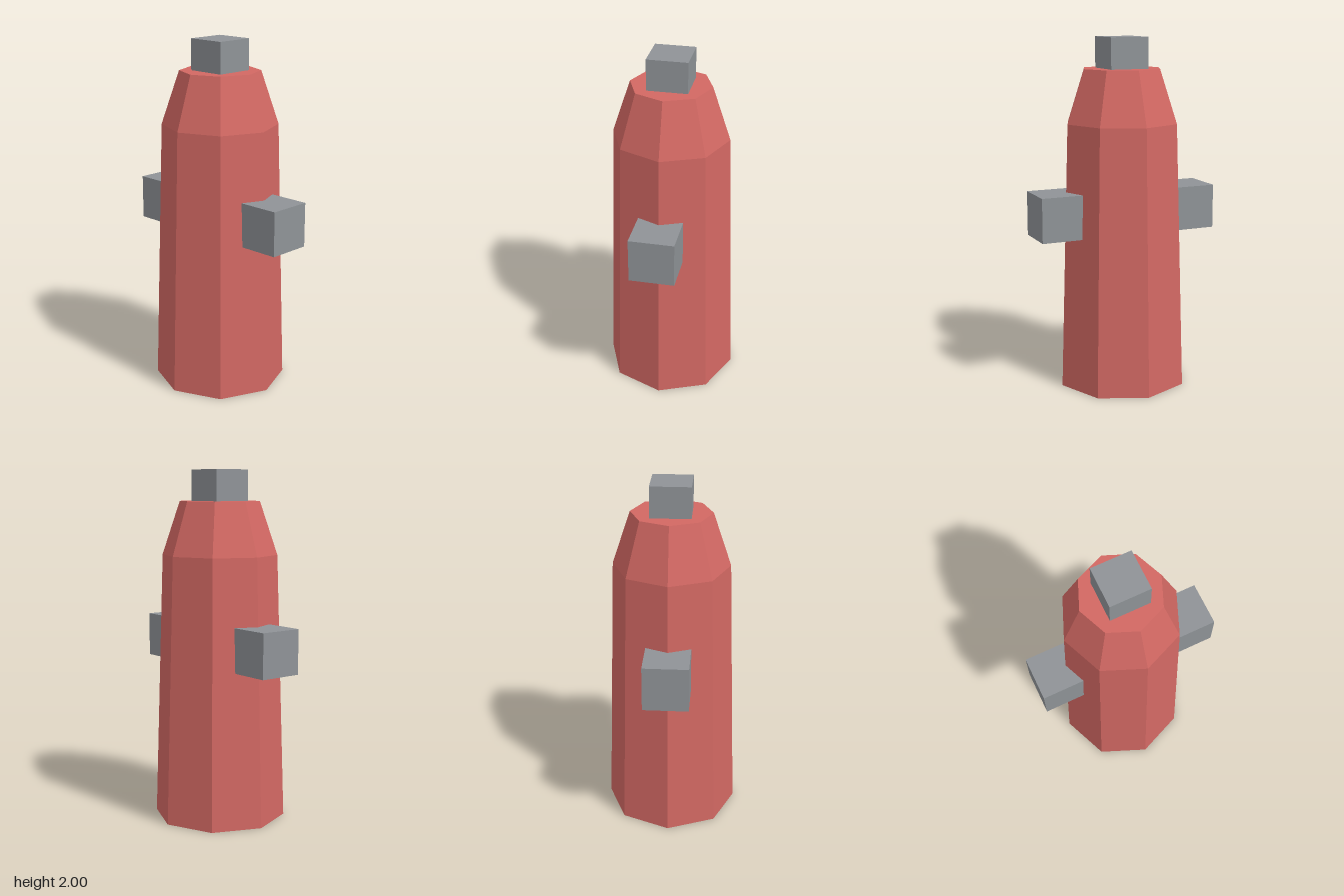
import * as THREE from 'three';

export function createModel() {
  const group = new THREE.Group();
  group.name = 'hydrant';

  const red = new THREE.MeshStandardMaterial({ color: 0xd26863, flatShading: true });
  red.name = 'red paint';
  const grey = new THREE.MeshStandardMaterial({ color: 0x8f9397, flatShading: true });
  grey.name = 'grey metal';

  // Tapered eight-sided body with a sloping shoulder, corners on the axes
  const profile = [[0, 0], [0.378, 0], [0.329, 1.523], [0.228, 1.825], [0, 1.825]]
    .map(([r, y]) => new THREE.Vector2(r, y));
  const body = new THREE.Mesh(new THREE.LatheGeometry(profile, 8), red);
  body.name = 'body';
  group.add(body);

  const addCube = (name, size, x, y) => {
    const mesh = new THREE.Mesh(new THREE.BoxGeometry(size, size, size), grey);
    mesh.name = name;
    mesh.position.set(x, y, 0);
    group.add(mesh);
  };

  // Square nut on top
  addCube('topNut', 0.226, 0, 1.887);

  // Outlets on both sides
  for (const side of [1, -1]) {
    addCube(side > 0 ? 'leftOutlet' : 'rightOutlet', 0.252, side * 0.404, 1.016);
  }

  return group;
}
